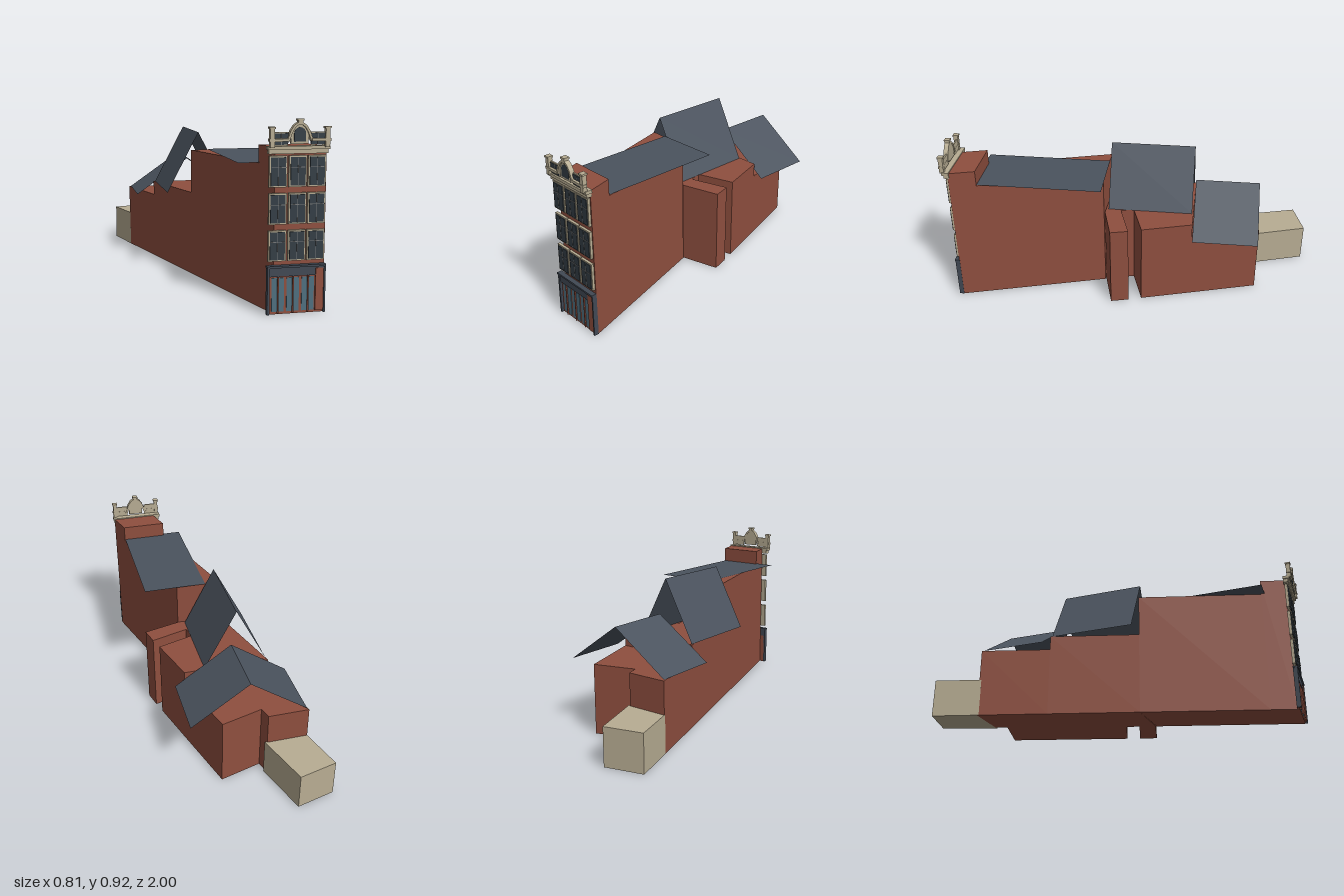
import * as THREE from 'three';

const mat = (color, side = THREE.FrontSide) => new THREE.MeshStandardMaterial({ color, side, flatShading: true });
const brick = mat(0x8f4f3f);
const slate = mat(0x4b535e, THREE.DoubleSide);
const stone = mat(0xb8ad93);
const glass = mat(0x333d45);
const shopGlass = mat(0x4f7080);
const shopPaint = mat(0x414954);
const wood = mat(0x914f3e);
const bar = mat(0x77797a);

export function createModel() {
  const model = new THREE.Group();

  const add = (parent, name, geometry, material) => {
    const mesh = new THREE.Mesh(geometry, material);
    mesh.name = name;
    parent.add(mesh);
    return mesh;
  };

  // Box given by its limits on each axis
  const box = (parent, name, material, x0, x1, y0, y1, z0, z1) => {
    const g = new THREE.BoxGeometry(x1 - x0, y1 - y0, z1 - z0);
    g.translate((x0 + x1) / 2, (y0 + y1) / 2, (z0 + z1) / 2);
    return add(parent, name, g, material);
  };

  // Upright block over a ground plan of [x, z] corners
  const block = (name, material, height, plan) => {
    const shape = new THREE.Shape(plan.map(([x, z]) => new THREE.Vector2(x, -z)));
    const g = new THREE.ExtrudeGeometry(shape, { depth: height, bevelEnabled: false });
    g.rotateX(-Math.PI / 2);
    return add(model, name, g, material);
  };

  // Thin roof sheet running along z, from a chain of [x, y] points
  const roof = (name, chain, z0, z1) => {
    const pos = [];
    for (let i = 0; i < chain.length - 1; i++) {
      const [ax, ay] = chain[i], [bx, by] = chain[i + 1];
      pos.push(ax, ay, z1, bx, by, z1, bx, by, z0, ax, ay, z1, bx, by, z0, ax, ay, z0);
    }
    const g = new THREE.BufferGeometry();
    g.setAttribute('position', new THREE.Float32BufferAttribute(pos, 3));
    g.computeVertexNormals();
    return add(model, name, g, slate);
  };

  // Slanting side walls of the plot
  const left = z => [0.147 + 0.29 * (z - 0.955), z];
  const right = z => [0.398 + 0.29 * (z - 0.96), z];

  // Brick volumes, from the street to the back
  block('frontBlock', brick, 0.79, [left(0.957), right(0.957), right(0.82), left(0.82)]);
  block('mainBlock', brick, 0.703, [left(0.82), right(0.82), right(0.163), left(0.145)]);
  block('middleBlock', brick, 0.465, [
    left(0.145), right(0.158), [0.372, 0.102], [0.347, 0.005], right(0.07),
    right(0), [0.325, -0.065], [0.244, -0.338], left(-0.338),
  ]);
  block('rearBlock', brick, 0.384, [
    left(-0.338), [0.244, -0.338], [0.133, -0.71], [-0.095, -0.645], [-0.113, -0.71], left(-0.71),
  ]);
  block('annex', stone, 0.208, [[-0.333, -0.7], [-0.1, -0.705], [-0.195, -1], [-0.404, -0.948]]);

  // Roof sheets
  roof('mainRoof', [[0.003, 0.707], [0.355, 0.707]], 0.148, 0.84);
  roof('middleRoof', [[-0.22, 0.466], [-0.045, 0.8], [0.13, 0.466]], -0.33, 0.142);
  roof('rearRoof', [[-0.328, 0.386], [-0.014, 0.605], [0.298, 0.386]], -0.7, -0.342);

  // Sash windows: three rows of three
  const columns = [0.16, 0.255, 0.348];
  for (const y of [0.329, 0.504, 0.678]) {
    for (const x of columns) {
      const w = new THREE.Group();
      w.name = 'window';
      model.add(w);
      box(w, 'windowFrame', stone, x - 0.043, x + 0.043, y - 0.073, y + 0.073, 0.955, 0.97);
      box(w, 'windowGlass', glass, x - 0.036, x + 0.036, y - 0.066, y + 0.066, 0.96, 0.974);
      box(w, 'verticalBar', bar, x - 0.0012, x + 0.0012, y - 0.066, y + 0.066, 0.97, 0.976);
      box(w, 'crossBar', bar, x - 0.036, x + 0.036, y + 0.018, y + 0.021, 0.97, 0.976);
    }
  }

  // Shopfront
  const shop = new THREE.Group();
  shop.name = 'shopfront';
  model.add(shop);
  box(shop, 'shopPanel', wood, 0.12, 0.392, 0, 0.185, 0.955, 0.966);
  box(shop, 'leftPilaster', shopPaint, 0.112, 0.123, 0, 0.228, 0.955, 0.98);
  box(shop, 'rightPilaster', shopPaint, 0.39, 0.398, 0, 0.228, 0.955, 0.98);
  box(shop, 'fascia', shopPaint, 0.114, 0.392, 0.183, 0.226, 0.955, 0.974);
  box(shop, 'shopCornice', shopPaint, 0.11, 0.398, 0.226, 0.236, 0.955, 0.983);
  box(shop, 'door', wood, 0.35, 0.389, 0.01, 0.217, 0.96, 0.976);
  for (const x of [0.1665, 0.24, 0.314]) {
    for (const s of [-1, 1]) {
      const c = x + s * 0.017;
      box(shop, 'shopPane', shopGlass, c - 0.0135, c + 0.0135, 0.012, 0.176, 0.96, 0.969);
    }
    box(shop, 'mullion', wood, x - 0.003, x + 0.003, 0.005, 0.183, 0.96, 0.975);
  }

  // Cornice and ornamental parapet
  const parapet = new THREE.Group();
  parapet.name = 'parapet';
  model.add(parapet);
  const cx = 0.255;
  box(parapet, 'cornice', stone, 0.112, 0.398, 0.76, 0.782, 0.95, 0.978);
  box(parapet, 'corniceCap', stone, 0.105, 0.403, 0.78, 0.796, 0.95, 0.988);
  for (const s of [-1, 1]) {
    const span = (name, material, a, b, y0, y1, z0, z1) =>
      box(parapet, name, material, cx + Math.min(s * a, s * b), cx + Math.max(s * a, s * b), y0, y1, z0, z1);
    span('post', stone, 0.122, 0.143, 0.79, 0.878, 0.973, 0.997);
    span('postCap', stone, 0.118, 0.147, 0.876, 0.885, 0.97, 1);
    span('sidePanel', stone, 0.055, 0.123, 0.8, 0.86, 0.976, 0.984);
    span('sideGlass', glass, 0.055, 0.122, 0.803, 0.855, 0.978, 0.986);
    span('sideRail', stone, 0.055, 0.147, 0.818, 0.831, 0.975, 0.999);
    span('sideBar', bar, 0.086, 0.089, 0.803, 0.855, 0.98, 0.988);
  }

  // Round-headed outline used for the attic panel and its window
  const arched = (r, y0, ySpring) => {
    const s = new THREE.Shape();
    s.moveTo(cx - r, y0);
    s.lineTo(cx + r, y0);
    s.lineTo(cx + r, ySpring);
    s.absarc(cx, ySpring, r, 0, Math.PI, false);
    return s;
  };
  const slab = (name, shape, material, z0, z1) => {
    const g = new THREE.ExtrudeGeometry(shape, { depth: z1 - z0, bevelEnabled: false, curveSegments: 10 });
    g.translate(0, 0, z0);
    return add(parapet, name, g, material);
  };
  slab('atticPanel', arched(0.042, 0.806, 0.855), stone, 0.974, 0.988);
  slab('atticGlass', arched(0.028, 0.816, 0.854), glass, 0.98, 0.99);

  // Flared gable band: same curve outside and inside, mirrored about the middle
  const half = [[0.066, 0.818], [0.056, 0.84], [0.046, 0.868], [0.03, 0.892], [0.013, 0.904], [0, 0.907]];
  const inner = [[0.052, 0.818], [0.046, 0.836], [0.037, 0.86], [0.024, 0.882], [0.011, 0.892], [0, 0.895]];
  const mirror = list => [...list.map(([x, y]) => [-x, y]), ...list.slice(0, -1).reverse()];
  const band = [...mirror(half), ...mirror(inner).reverse()];
  slab('gableBand', new THREE.Shape(band.map(([x, y]) => new THREE.Vector2(cx + x, y))), stone, 0.972, 0.997);
  box(parapet, 'keystone', stone, cx - 0.011, cx + 0.011, 0.893, 0.914, 0.972, 0.998);
  box(parapet, 'keystoneCap', stone, cx - 0.015, cx + 0.015, 0.912, 0.921, 0.97, 1);

  return model;
}
